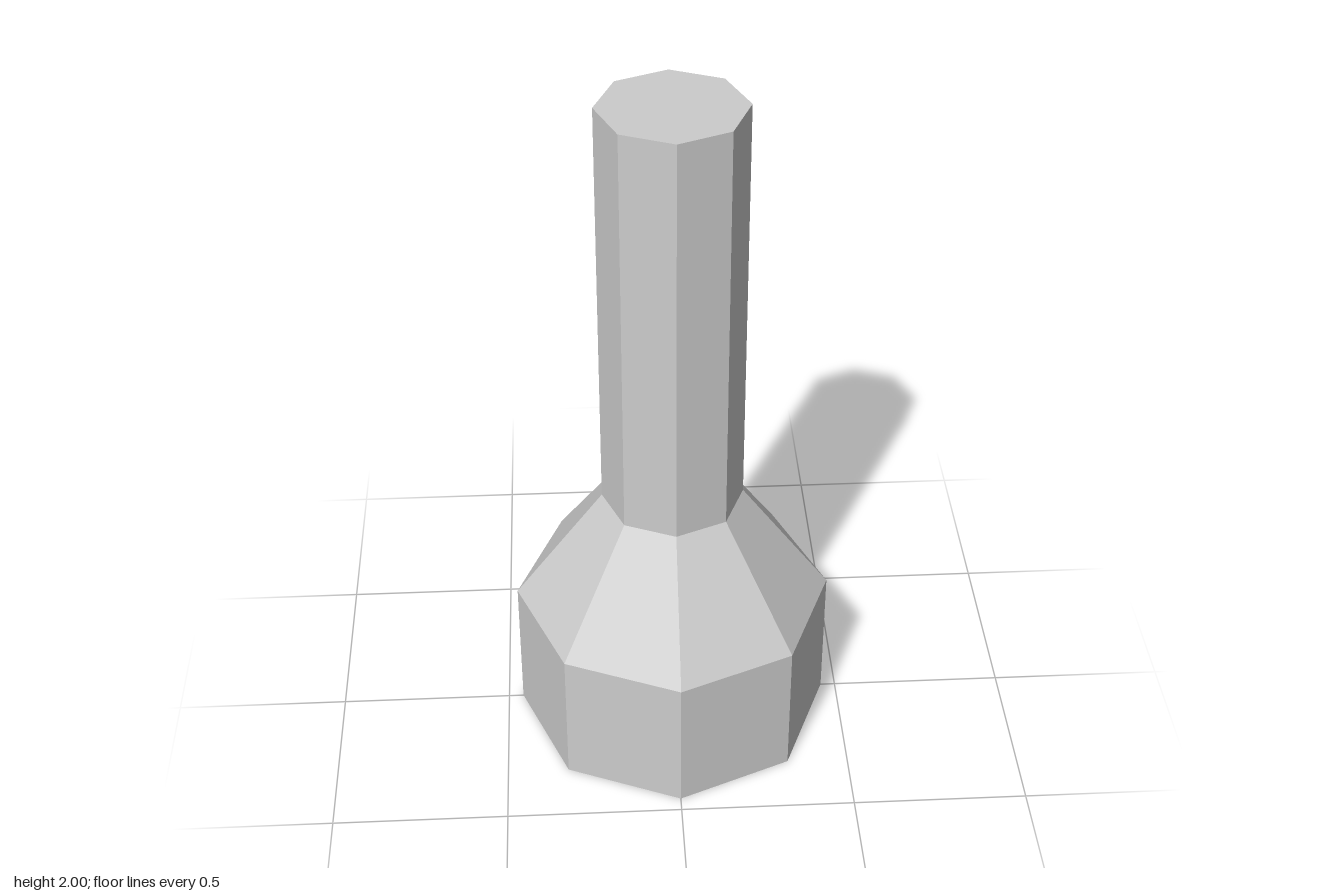
import * as THREE from 'three';

const SIDES = 8;

export function createModel() {
  const model = new THREE.Group();
  model.name = 'bottle';
  const material = new THREE.MeshStandardMaterial({ color: 0xcccccc, flatShading: true });

  // One eight-sided section of the bottle, with corners on the x and z axes
  function addSection(name, bottomRadius, topRadius, y0, y1) {
    const geometry = new THREE.CylinderGeometry(topRadius, bottomRadius, y1 - y0, SIDES, 1, true);
    geometry.translate(0, (y0 + y1) / 2, 0);
    const mesh = new THREE.Mesh(geometry, material);
    mesh.name = name;
    model.add(mesh);
  }

  // Flat octagonal end, facing up or down
  function addCap(name, radius, y, facing) {
    const geometry = new THREE.CircleGeometry(radius, SIDES);
    geometry.rotateX(-facing * Math.PI / 2);
    geometry.translate(0, y, 0);
    const mesh = new THREE.Mesh(geometry, material);
    mesh.name = name;
    model.add(mesh);
  }

  addSection('body', 0.457, 0.457, 0, 0.42);
  addSection('shoulder', 0.457, 0.202, 0.42, 0.77);
  addSection('neck', 0.202, 0.202, 0.77, 2);
  addCap('base', 0.457, 0, -1);
  addCap('neckTop', 0.202, 2, 1);

  return model;
}
